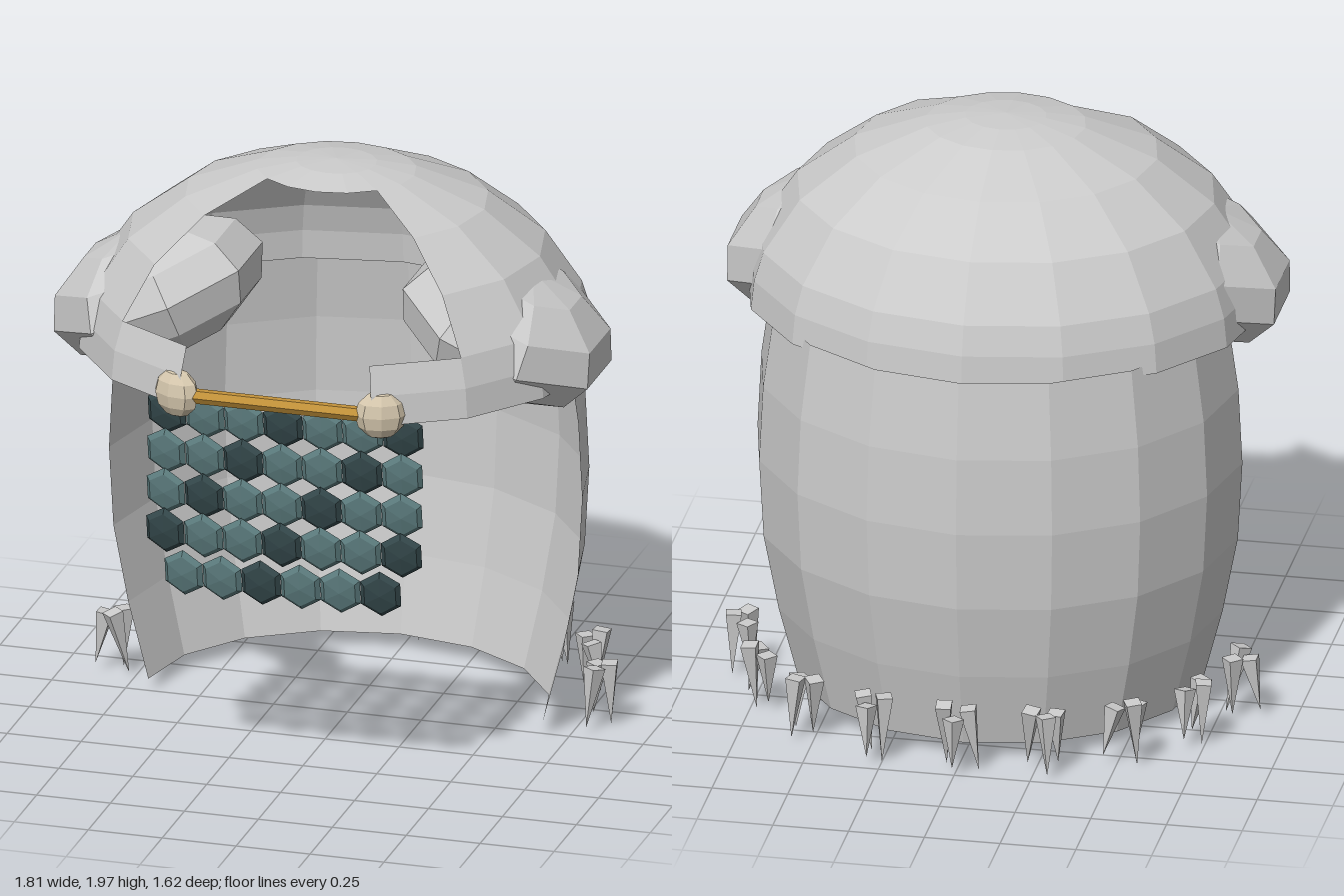
import * as THREE from 'three';

const D = Math.PI / 180;

function mat(color = 0xcccccc, side = THREE.FrontSide) {
  return new THREE.MeshStandardMaterial({ color, side, flatShading: true });
}

export function createModel() {
  const root = new THREE.Group();
  const cloth = mat(0xcccccc, THREE.DoubleSide);
  const grey = mat();
  const cream = mat(0xd6c8ae);
  const gold = mat(0xc2923a);
  const scaleLight = mat(0x5c7c7e);
  const scaleDark = mat(0x34484b);

  function add(parent, name, geometry, material, x = 0, y = 0, z = 0) {
    const mesh = new THREE.Mesh(geometry, material);
    mesh.name = name;
    mesh.position.set(x, y, z);
    parent.add(mesh);
    return mesh;
  }
  function group(name) {
    const g = new THREE.Group();
    g.name = name;
    root.add(g);
    return g;
  }

  // Hood: half ellipsoid with a face opening, narrower in the lowest band
  const hood = group('hood');
  hood.position.set(0, 1.36, 0.12);
  hood.scale.set(0.85, 0.64, 0.75);
  const zone = (name, segs, rows, gap, t0, t1) => add(hood, name,
    new THREE.SphereGeometry(1, segs, rows, (90 + gap) * D, (360 - 2 * gap) * D, t0 * D, (t1 - t0) * D), cloth);
  zone('hoodCrown', 16, 1, 0, 0, 18);
  zone('hoodShell', 12, 3, 45, 18, 72);
  zone('hoodBand', 14, 1, 22.5, 72, 90);

  // Cape: barrel-shaped half shell round the back
  const profile = [[0.667, 0.08], [0.735, 0.34], [0.785, 0.6], [0.8, 0.87], [0.787, 1.13], [0.75, 1.39]]
    .map(([r, y]) => new THREE.Vector2(r, y));
  const cape = add(root, 'cape', new THREE.LatheGeometry(profile, 8, Math.PI / 2, Math.PI), cloth, 0, 0, 0.02);
  cape.scale.z = 0.74 / 0.8;

  // Side puffs, inner ends raised
  const puffGeo = new THREE.SphereGeometry(1, 8, 6).rotateY(22.5 * D).scale(0.37, 0.215, 0.355);
  for (const s of [1, -1]) {
    const puff = add(root, s > 0 ? 'leftPuff' : 'rightPuff', puffGeo, grey, s * 0.59, 1.505, 0.165);
    puff.rotation.z = -s * 24 * D;
  }

  // Veil bar with its end knobs
  add(root, 'veilBar', new THREE.CylinderGeometry(0.025, 0.025, 0.64, 6).rotateZ(Math.PI / 2), gold, 0, 1.39, 0.785);
  const knobGeo = new THREE.SphereGeometry(1, 8, 6).scale(0.085, 0.083, 0.05);
  for (const s of [1, -1]) {
    const knob = add(root, s > 0 ? 'leftKnob' : 'rightKnob', knobGeo, cream, s * 0.345, 1.39, 0.77);
    knob.rotation.y = s * 20 * D;
  }

  // Veil of hexagonal scales, every third one dark
  const veil = group('veil');
  const plate = [[0, -0.022], [0.065, -0.014], [0.083, 0], [0.065, 0.014], [0, 0.022]]
    .map(([r, y]) => new THREE.Vector2(r, y));
  const plateGeo = new THREE.LatheGeometry(plate, 6).rotateX(Math.PI / 2).scale(0.92, 1, 1);
  for (let row = 0; row < 5; row++) {
    const count = row < 4 ? 7 : 6;
    for (let i = 0; i < count; i++) {
      const x = (i - (count - 1) / 2) * 0.133;
      const m = (i + row) % 3 === 0 ? scaleDark : scaleLight;
      const p = add(veil, 'veilScale', plateGeo, m, x, 1.295 - row * 0.136, 0.722 + row * 0.006 - 0.14 * x * x);
      p.rotation.set(9 * D, x * 0.3, 0);
    }
  }

  // Tassels: bunches of three spikes round the hem
  const fringe = group('hemTassels');
  const spikeGeo = new THREE.ConeGeometry(0.036, 1, 4).rotateX(Math.PI).translate(0, -0.5, 0);
  for (let k = 0; k < 9; k++) {
    const a = (10 + 20 * k) * D;
    const tassel = new THREE.Group();
    tassel.name = 'tassel';
    tassel.position.set(0.83 * Math.cos(a), 0.25, 0.02 - 0.75 * Math.sin(a));
    tassel.rotation.y = a + Math.PI / 2;
    fringe.add(tassel);
    for (let j = 0; j < 3; j++) {
      const v = Math.sin(k * 5.1 + j * 2.7);
      const spike = add(tassel, 'spike', spikeGeo, grey, (j - 1) * 0.04, v * 0.015, j === 1 ? 0.035 : -0.01);
      spike.scale.y = 0.2 + 0.035 * v;
      spike.rotation.set((j === 1 ? -0.1 : 0.12) + 0.1 * v, j * 0.8 + k, (j - 1) * 0.12 + 0.12 * v);
    }
  }
  return root;
}
